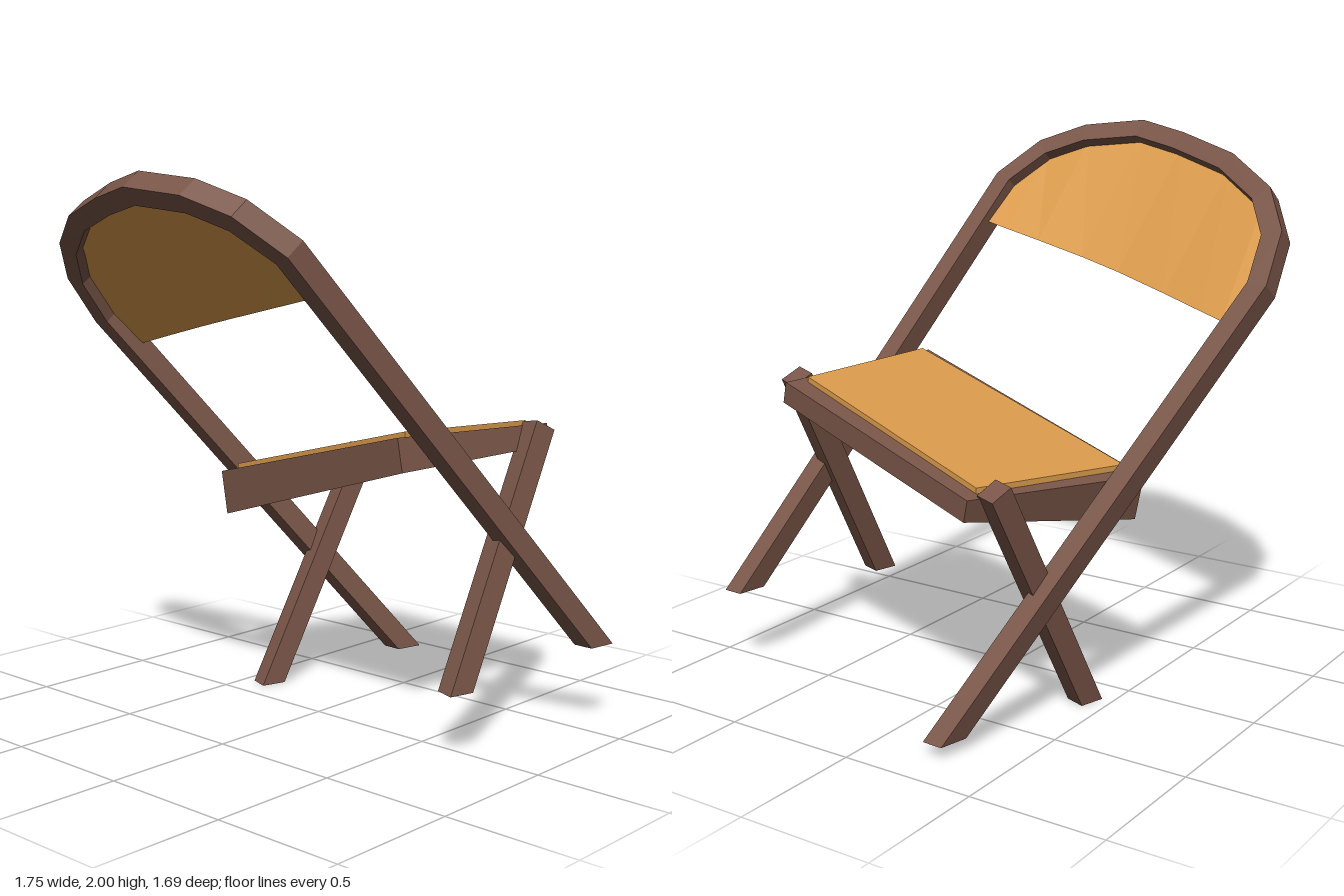
import * as THREE from 'three';

const V = (x, y, z) => new THREE.Vector3(x, y, z);
const wood = new THREE.MeshStandardMaterial({ color: 0x795548, flatShading: true });
const tan = new THREE.MeshStandardMaterial({ color: 0xd99a4b, flatShading: true });
const tanSheet = tan.clone();
tanSheet.side = THREE.DoubleSide;

// Flat-shaded mesh from quads
function quadMesh(name, quads, material) {
  const pos = [];
  for (const [a, b, c, d] of quads) for (const p of [a, b, c, a, c, d]) pos.push(p.x, p.y, p.z);
  const geo = new THREE.BufferGeometry();
  geo.setAttribute('position', new THREE.Float32BufferAttribute(pos, 3));
  geo.computeVertexNormals();
  const mesh = new THREE.Mesh(geo, material);
  mesh.name = name;
  return mesh;
}

// Closed solid through four-cornered rings (counter-clockwise about the travel direction)
function loft(name, rings, material) {
  const quads = [[...rings[0]].reverse(), rings[rings.length - 1]];
  for (let i = 0; i + 1 < rings.length; i++)
    for (let j = 0; j < 4; j++) {
      const k = (j + 1) % 4;
      quads.push([rings[i][j], rings[i][k], rings[i + 1][k], rings[i + 1][j]]);
    }
  return quadMesh(name, quads, material);
}

// Mitred bar along a path; ends listed in flatEnds are cut level with the floor
function bar(name, pts, normal, width, depth, flatEnds) {
  const last = pts.length - 1;
  const dirs = pts.slice(1).map((p, i) => p.clone().sub(pts[i]).normalize());
  const rings = pts.map((p, i) => {
    const d0 = dirs[Math.max(i - 1, 0)], d1 = dirs[Math.min(i, last - 1)];
    const s0 = normal.clone().cross(d0).normalize();
    const side = s0.clone().add(normal.clone().cross(d1).normalize()).normalize();
    side.multiplyScalar(width / 2 / side.dot(s0));
    return [[1, 1], [-1, 1], [-1, -1], [1, -1]].map(([a, b]) => {
      const q = p.clone().addScaledVector(side, a).addScaledVector(normal, b * depth / 2);
      if (flatEnds.includes(i)) q.addScaledVector(d1, (p.y - q.y) / d1.y);
      return q;
    });
  });
  return loft(name, rings, wood);
}

export function createModel() {
  const group = new THREE.Group();
  const across = V(0.95, 0.22, 0.22).normalize();

  // Long legs and arched back in one bent frame
  const arch = [
    V(-0.835, 1.47, 0.285), V(-0.82, 1.63, 0.42), V(-0.722, 1.755, 0.53),
    V(-0.52, 1.85, 0.65), V(-0.27, 1.91, 0.74), V(-0.075, 1.945, 0.79),
    V(0.165, 1.92, 0.775), V(0.333, 1.86, 0.73), V(0.45, 1.745, 0.62),
  ];
  const path = [V(-0.25, 0.05, -0.79), ...arch, V(0.83, 0.305, -0.58)];
  const frameNormal = V(-0.037, -0.62, 0.78).normalize();
  group.add(bar('backFrame', path, frameNormal, 0.075, 0.085, [0, path.length - 1]));

  // Curved back panel hung from the arch
  const lower = new THREE.CatmullRomCurve3([
    V(-0.745, 1.36, 0.19), V(-0.12, 1.48, 0.415), V(0.455, 1.6, 0.485),
  ]);
  const panel = [];
  const low = arch.map((p) => lower.getPoint(THREE.MathUtils.clamp((p.x + 0.835) / 1.285, 0, 1)));
  for (let i = 0; i + 1 < arch.length; i++) panel.push([low[i], low[i + 1], arch[i + 1], arch[i]]);
  group.add(quadMesh('backPanel', panel, tanSheet));

  // Tapered seat slab and inset pad, lying on a sloping plane
  const onSeat = (rise) => ([x, z]) => V(x, 0.985 + rise + 0.232 * x + 0.052 * z, z);
  const seatTop = [[-0.585, -0.07], [0.54, 0.195], [0.645, -0.52], [-0.31, -0.735]].map(onSeat(0));
  const drop = [0.17, 0.12, 0.08, 0.08];
  const seatUp = V(-0.225, 0.97, -0.05);
  const seatBottom = seatTop.map((p, i) => p.clone().addScaledVector(seatUp, -drop[i]));
  group.add(loft('seatFrame', [seatBottom, seatTop], wood));

  const padPlan = [[-0.515, -0.09], [0.53, 0.145], [0.6, -0.45], [-0.3, -0.67]];
  group.add(loft('seatPad', [padPlan.map(onSeat(-0.02)), padPlan.map(onSeat(0.02))], tan));

  // Short crossing legs on either side of the seat
  const legs = [
    ['rightShortLeg', V(-0.405, 0.005, -0.15), V(-0.37, 0.9, -0.67)],
    ['leftShortLeg', V(0.69, 0.24, 0.055), V(0.672, 1.11, -0.43)],
  ];
  for (const [name, foot, top] of legs) {
    const normal = across.clone().cross(top.clone().sub(foot)).normalize();
    group.add(bar(name, [foot, top], normal, 0.08, 0.085, [0]));
  }
  return group;
}
